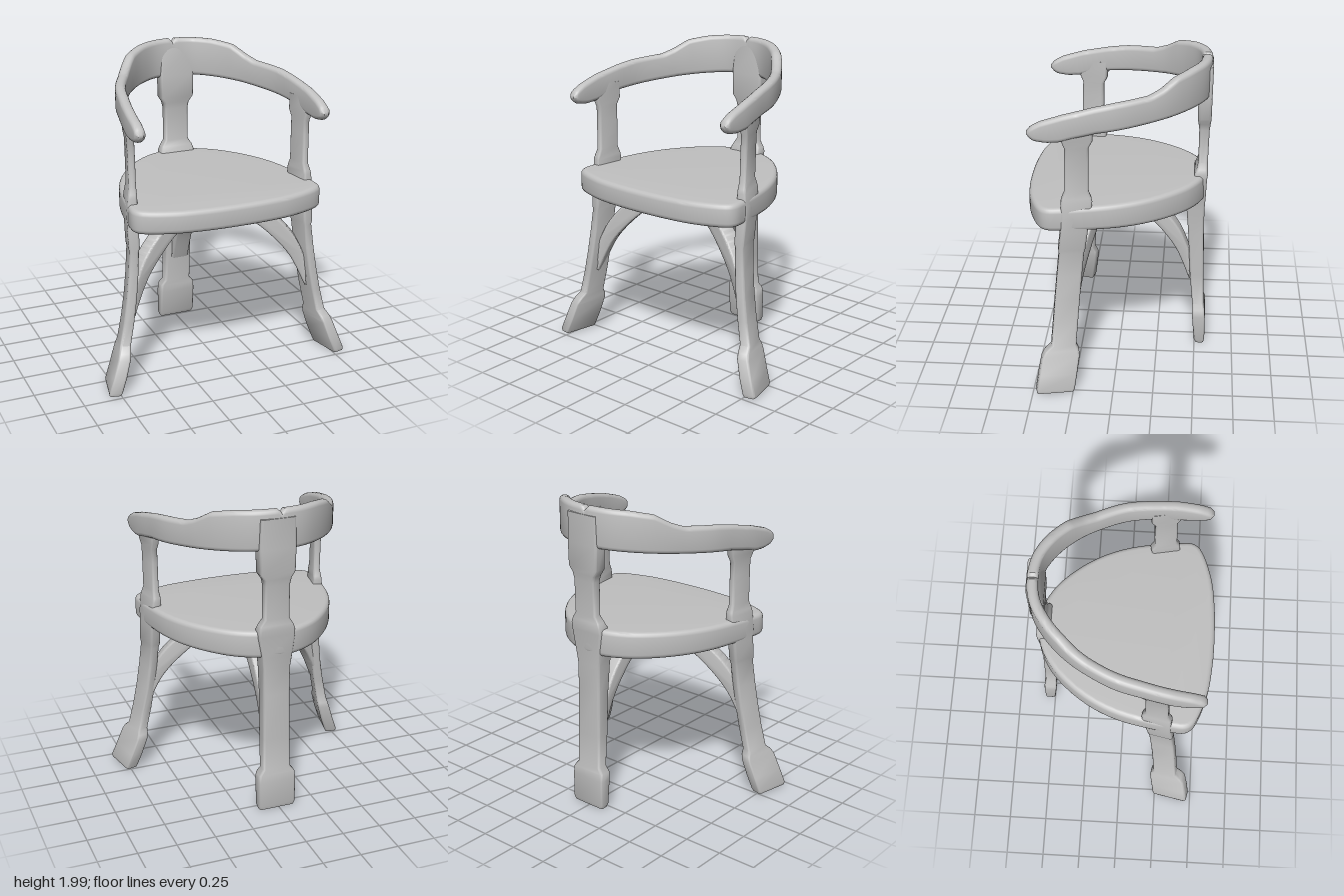
import * as THREE from 'three';
import { toCreasedNormals } from 'three/addons/utils/BufferGeometryUtils.js';

const V = (x, y, z) => new THREE.Vector3(x, y, z);

// Rounded rectangle outline, counter-clockwise, 5 points per corner
function section(w, h, r) {
  const pts = [];
  for (let k = 0; k < 4; k++) {
    const cx = (k === 0 || k === 3 ? 1 : -1) * (w / 2 - r);
    const cy = (k < 2 ? 1 : -1) * (h / 2 - r);
    for (let i = 0; i <= 4; i++) {
      const a = (k + i / 4) * Math.PI / 2;
      pts.push([cx + r * Math.cos(a), cy + r * Math.sin(a)]);
    }
  }
  return pts;
}

// Skin a list of equal-length rings and cap both ends
function loft(rings) {
  const n = rings[0].length, pos = [], idx = [];
  rings.forEach(r => r.forEach(p => pos.push(p.x, p.y, p.z)));
  for (let i = 0; i < rings.length - 1; i++) {
    for (let j = 0; j < n; j++) {
      const a = i * n + j, c = i * n + (j + 1) % n;
      idx.push(a, a + n, c, a + n, c + n, c);
    }
  }
  [0, rings.length - 1].forEach((ri, end) => {
    const m = V(0, 0, 0);
    rings[ri].forEach(p => m.addScaledVector(p, 1 / n));
    const c = pos.length / 3;
    pos.push(m.x, m.y, m.z);
    for (let j = 0; j < n; j++) {
      const a = ri * n + j, b = ri * n + (j + 1) % n;
      if (end) idx.push(c, b, a); else idx.push(c, a, b);
    }
  });
  const g = new THREE.BufferGeometry();
  g.setAttribute('position', new THREE.Float32BufferAttribute(pos, 3));
  g.setIndex(idx);
  return toCreasedNormals(g, 0.75);
}

// Upright member from rows [y, x, z, width, depth], turned about y
function upright(rows, side, turn) {
  const c = Math.cos(turn * side), s = Math.sin(turn * side);
  return loft(rows.map(([y, x, z, w, d]) =>
    section(w, d, 0.016).map(([u, v]) => V(side * x + u * c + v * s, y, z - u * s + v * c))));
}

function lerpTable(table, t) {
  if (t <= table[0][0]) return table[0][1];
  for (let i = 1; i < table.length; i++) {
    const [a, p] = table[i - 1], [b, q] = table[i];
    if (t <= b) return p + (q - p) * (t - a) / (b - a);
  }
  return table[table.length - 1][1];
}

// Mirror a half outline [x, z] that starts on x = 0
const mirrored = half => [...half.slice().reverse(), ...half.slice(1).map(([x, z]) => [-x, z])];

function seatGeometry() {
  const half = [[0, -0.55], [0.13, -0.53], [0.27, -0.455], [0.4, -0.325], [0.5, -0.175], [0.565, -0.02],
    [0.605, 0.15], [0.628, 0.32], [0.63, 0.41], [0.595, 0.46], [0.4, 0.537], [0.2, 0.565]];
  const pts = [...mirrored(half), [0, 0.572]].map(([x, z]) => V(x, z, 0));
  const outline = new THREE.CatmullRomCurve3(pts, true).getPoints(110).slice(0, -1);
  const g = new THREE.ExtrudeGeometry(new THREE.Shape(outline.map(p => new THREE.Vector2(p.x, p.y))), {
    depth: 0.1, bevelThickness: 0.03, bevelSize: 0.03, bevelOffset: -0.03, bevelSegments: 4 });
  g.rotateX(Math.PI / 2).translate(0, 1.185, 0);
  // Top surface rises gently to the back
  const p = g.attributes.position;
  for (let i = 0; i < p.count; i++) if (p.getY(i) > 1.13) p.setY(i, p.getY(i) - 0.03 * p.getZ(i));
  return toCreasedNormals(g, 0.7);
}

function railGeometry() {
  const half = [[0, -0.535], [0.14, -0.513], [0.27, -0.435], [0.39, -0.31], [0.475, -0.17],
    [0.54, -0.02], [0.575, 0.14], [0.598, 0.3], [0.605, 0.515]];
  const top = [[-0.535, 2], [-0.45, 1.99], [-0.35, 1.965], [-0.27, 1.91], [-0.2, 1.88], [0, 1.86],
    [0.12, 1.84], [0.3, 1.8], [0.43, 1.76], [0.49, 1.73], [0.515, 1.7]];
  const bottom = [[-0.535, 1.75], [0.12, 1.68], [0.25, 1.655], [0.32, 1.635], [0.4, 1.63],
    [0.47, 1.64], [0.5, 1.66], [0.515, 1.68]];
  const curve = new THREE.CatmullRomCurve3(mirrored(half).map(([x, z]) => V(x, 0, z)));
  const rings = [], N = 128, up = V(0, 1, 0);
  for (let i = 0; i <= N; i++) {
    const p = curve.getPointAt(i / N);
    const out = curve.getTangentAt(i / N).cross(up).normalize();
    // Small notch in the middle of the crest
    const hi = lerpTable(top, p.z) - (i === N / 2 ? 0.02 : 0), lo = lerpTable(bottom, p.z);
    const w = i === 0 || i === N ? 0.03 : 0.066;
    const r = Math.min(0.027, w * 0.45, (hi - lo) * 0.45);
    rings.push(section(w, hi - lo, r).map(([u, v]) =>
      V(p.x + out.x * u, (hi + lo) / 2 + v, p.z + out.z * u)));
  }
  return loft(rings);
}

// Curved brace running from the hub under the seat to a leg
function braceGeometry(dx, dz, width) {
  const len = Math.hypot(dx, dz);
  const scaled = list => list.map(([u, y]) => new THREE.Vector2(u * len, y));
  const s = new THREE.Shape();
  s.moveTo(0, 1.035);
  s.splineThru(scaled([[0.17, 1.02], [0.35, 0.965], [0.57, 0.87], [0.83, 0.69], [1.01, 0.46]]));
  s.lineTo(1.03 * len, 0.62);
  s.splineThru(scaled([[0.98, 0.7], [0.88, 0.82], [0.72, 0.935], [0.5, 1.035], [0.3, 1.07]]));
  s.lineTo(0, 1.08);
  const g = new THREE.ExtrudeGeometry(s, { depth: width - 0.03, curveSegments: 20,
    bevelThickness: 0.015, bevelSize: 0.012, bevelOffset: -0.012, bevelSegments: 3 });
  g.translate(0, 0, 0.015 - width / 2).rotateY(Math.atan2(-dz, dx));
  return toCreasedNormals(g, 0.7);
}

export function createModel() {
  const group = new THREE.Group();
  const grey = new THREE.MeshStandardMaterial({ color: 0xc0c0c0 });
  grey.name = 'paleGrey';
  const add = (name, geometry) => {
    const m = new THREE.Mesh(geometry, grey);
    m.name = name;
    group.add(m);
    return m;
  };

  add('seat', seatGeometry());
  add('backAndArmRail', railGeometry());

  // Front legs carry on through the seat as arm posts
  const frontRows = [
    [0.012, 0.765, 0.363, 0.075, 0.23], [0.03, 0.762, 0.362, 0.085, 0.24], [0.12, 0.728, 0.35, 0.085, 0.24],
    [0.23, 0.692, 0.333, 0.08, 0.235], [0.265, 0.682, 0.325, 0.075, 0.21], [0.3, 0.672, 0.315, 0.07, 0.155],
    [0.45, 0.64, 0.304, 0.066, 0.155], [0.6, 0.615, 0.293, 0.064, 0.155], [0.75, 0.597, 0.28, 0.062, 0.155],
    [0.9, 0.584, 0.266, 0.06, 0.155], [0.925, 0.583, 0.264, 0.07, 0.165], [1.05, 0.583, 0.248, 0.07, 0.168],
    [1.14, 0.583, 0.238, 0.07, 0.18], [1.24, 0.578, 0.23, 0.06, 0.19], [1.265, 0.576, 0.23, 0.055, 0.18],
    [1.31, 0.574, 0.23, 0.046, 0.145], [1.5, 0.576, 0.227, 0.046, 0.145], [1.59, 0.578, 0.225, 0.046, 0.145],
    [1.635, 0.58, 0.222, 0.055, 0.185], [1.74, 0.583, 0.22, 0.055, 0.19]];
  for (const side of [1, -1]) {
    const label = side > 0 ? 'left' : 'right';
    add(label + 'FrontLegAndArmPost', upright(frontRows, side, 0.2));
    const brace = add(label + 'FrontBrace', braceGeometry(side * 0.605, 0.2, 0.1));
    brace.position.z = 0.08;
  }

  // Back leg carries on through the seat as the back splat
  const backRows = [
    [0.005, 0.012, -0.535, 0.235, 0.055], [0.03, 0.012, -0.533, 0.25, 0.07], [0.2, 0.012, -0.525, 0.25, 0.085],
    [0.25, 0.012, -0.522, 0.24, 0.085], [0.285, 0.012, -0.518, 0.185, 0.075], [0.5, 0.012, -0.505, 0.18, 0.09],
    [0.8, 0.012, -0.493, 0.175, 0.1], [0.98, 0.012, -0.485, 0.18, 0.115], [1.06, 0.012, -0.485, 0.2, 0.125],
    [1.2, 0.016, -0.51, 0.24, 0.085], [1.24, 0.018, -0.515, 0.235, 0.085], [1.27, 0.02, -0.52, 0.215, 0.07],
    [1.31, 0.02, -0.524, 0.165, 0.06], [1.53, 0.02, -0.527, 0.165, 0.065], [1.57, 0.02, -0.527, 0.18, 0.075],
    [1.61, 0.022, -0.526, 0.23, 0.085], [1.76, 0.022, -0.525, 0.235, 0.09], [1.95, 0.022, -0.538, 0.22, 0.07]];
  add('backLegAndSplat', upright(backRows, 1, 0));
  add('backBrace', braceGeometry(0, -0.53, 0.12)).position.set(0.02, 0, 0.08);

  return group;
}
